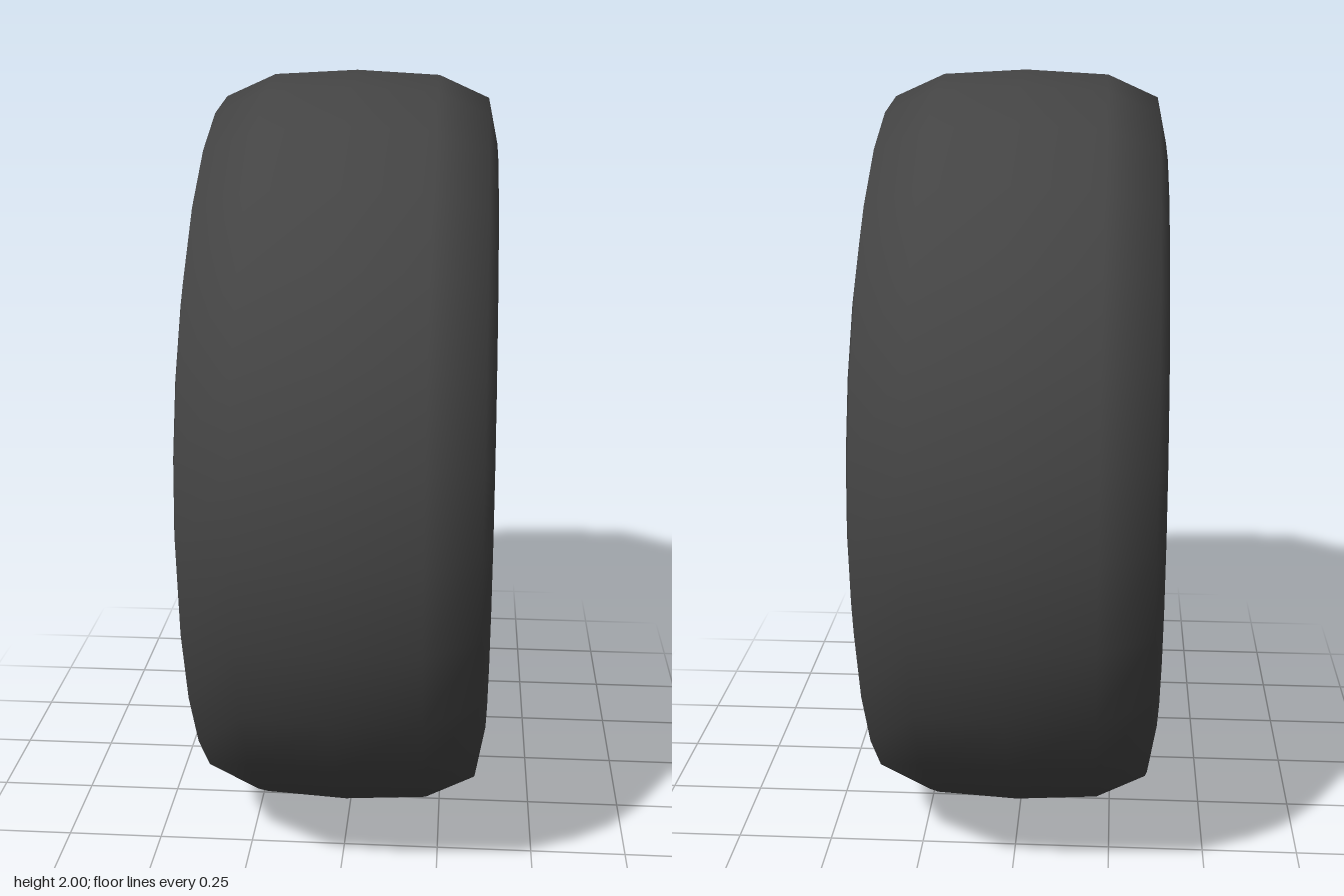
import * as THREE from 'three';

const SEGMENTS = 28;

export function createModel() {
  const rubber = new THREE.MeshStandardMaterial({ color: 0x444444 });
  rubber.name = 'darkRubber';
  const metal = new THREE.MeshStandardMaterial({ color: 0xb8b8be });
  metal.name = 'paleMetal';

  const wheel = new THREE.Group();
  wheel.name = 'wheel';
  wheel.position.y = 1;

  const add = (name, geometry, material, parent = wheel) => {
    const mesh = new THREE.Mesh(geometry, material);
    mesh.name = name;
    parent.add(mesh);
    return mesh;
  };

  // Surface turned around the x axle from [radius, x] points
  const turned = (points) =>
    new THREE.LatheGeometry(points.map(([r, x]) => new THREE.Vector2(r, x)), SEGMENTS)
      .rotateZ(-Math.PI / 2);
  const mirrored = (points) => points.map(([r, x]) => [r, -x]).reverse();

  // Tyre: rounded sidewalls and slightly crowned tread
  const half = [[1, 0], [0.988, 0.215], [0.93, 0.345], [0.81, 0.37], [0.605, 0.34]];
  add('tyre', turned([...mirrored(half), ...half.slice(1)]), rubber);

  // Inner walls of the two wheel openings
  const wall = [[0.605, 0.34], [0.597, 0.32], [0.597, 0.23]];
  add('leftRimWall', turned(wall), rubber);
  add('rightRimWall', turned(mirrored(wall)), rubber);

  // Wheel disc and hub run through to both faces
  const axial = (radius, width, sides) =>
    new THREE.CylinderGeometry(radius, radius, width, sides).rotateZ(-Math.PI / 2);
  add('wheelDisc', axial(0.597, 0.48, SEGMENTS), metal);
  add('hub', axial(0.122, 0.59, 20), metal);

  // Five raised spokes on each face
  for (const side of [1, -1]) {
    const spokes = new THREE.Group();
    spokes.name = side > 0 ? 'leftSpokes' : 'rightSpokes';
    wheel.add(spokes);
    for (let i = 0; i < 5; i++) {
      const spoke = new THREE.BoxGeometry(0.045, 0.49, 0.145);
      spoke.translate(side * 0.2525, 0.325, 0).rotateX((i * Math.PI * 2) / 5);
      add('spoke' + (i + 1), spoke, rubber, spokes);
    }
  }

  const model = new THREE.Group();
  model.name = 'wheelModel';
  model.add(wheel);
  return model;
}
